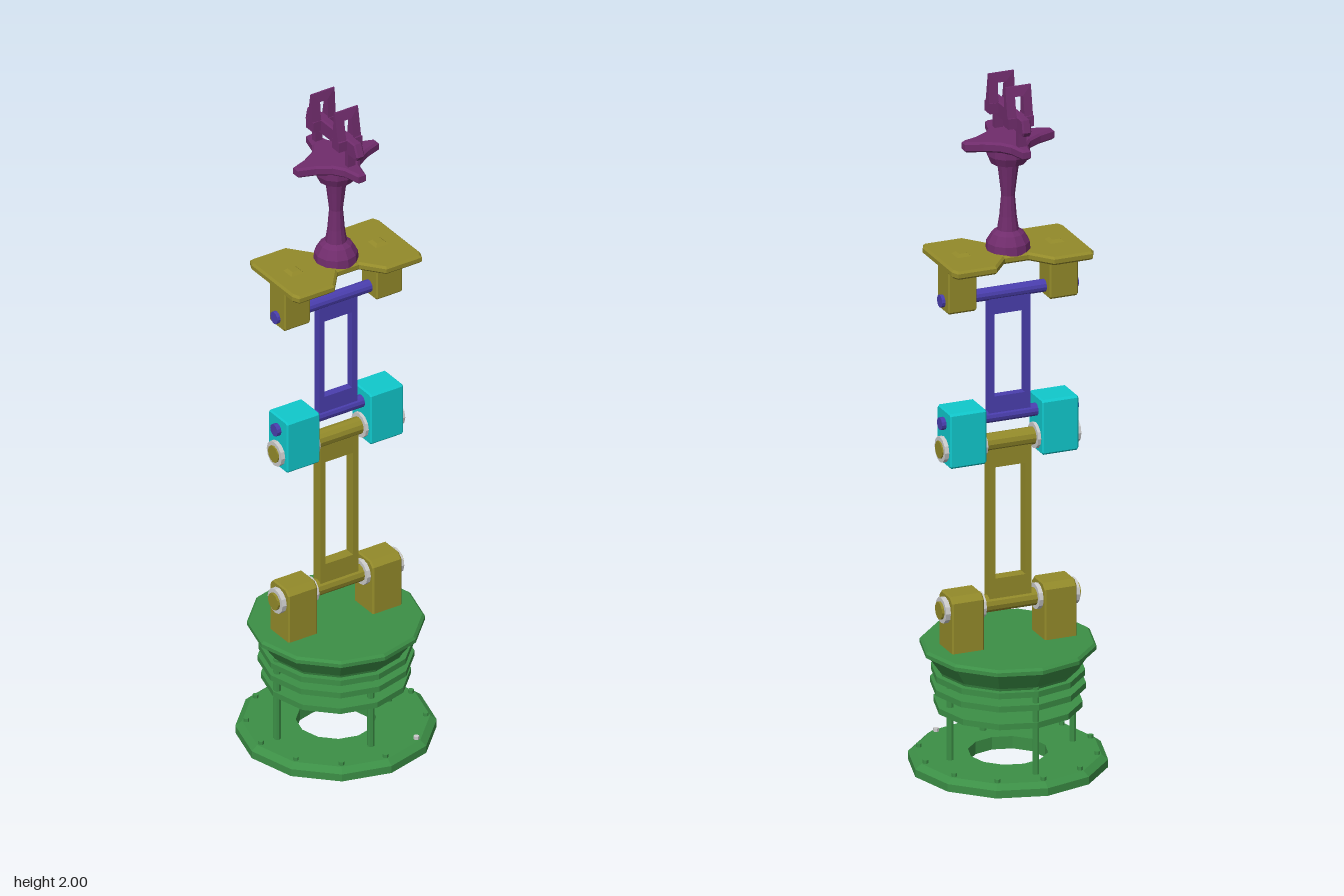
import * as THREE from 'three';

const paint = (color) => new THREE.MeshStandardMaterial({ color, flatShading: true });
const GREEN = paint(0x3c8f46), OLIVE = paint(0x938a2a), CYAN = paint(0x10c8cc);
const BLUE = paint(0x4a3eae), PURPLE = paint(0x702c6c), GREY = paint(0xcccccc);

export function createModel() {
  const model = new THREE.Group();

  const add = (name, geometry, material, x = 0, y = 0, z = 0) => {
    const mesh = new THREE.Mesh(geometry, material);
    mesh.name = name;
    mesh.position.set(x, y, z);
    model.add(mesh);
    return mesh;
  };
  const lathe = (name, profile, sides, material) =>
    add(name, new THREE.LatheGeometry(profile.map(([r, y]) => new THREE.Vector2(r, y)), sides), material);
  const box = (name, w, h, d, material, x, y, z) =>
    add(name, new THREE.BoxGeometry(w, h, d), material, x, y, z);
  const rod = (name, r, halfLength, y, material) =>
    add(name, new THREE.CylinderGeometry(r, r, halfLength * 2, 12), material, 0, y, 0).rotation.z = Math.PI / 2;
  const polygon = (points) => new THREE.Shape(points.map(([x, y]) => new THREE.Vector2(x, y)));
  const rect = (x0, y0, x1, y1) => [[x0, y0], [x1, y0], [x1, y1], [x0, y1]];

  // Extrusion through z, centred on z = 0
  const slab = (shape, depth, bevel = 0) => new THREE.ExtrudeGeometry(shape, {
    depth: depth - 2 * bevel, bevelEnabled: bevel > 0, bevelSize: bevel, bevelOffset: -bevel,
    bevelThickness: bevel, bevelSegments: 1, curveSegments: 4,
  }).translate(0, 0, -depth / 2 + bevel);

  // Horizontal extrusion standing on y = 0
  const flat = (shape, height, bevel) =>
    slab(shape, height, bevel).rotateX(-Math.PI / 2).translate(0, height / 2, 0);

  // Ring foot with bolts
  lathe('footRing', [[0.11, 0], [0.275, 0], [0.275, 0.022], [0.257, 0.036], [0.11, 0.036], [0.11, 0]], 12, GREEN);
  for (let i = 0; i < 12; i++) {
    const a = (i * Math.PI) / 6;
    add('footBolt', new THREE.CylinderGeometry(0.008, 0.008, 0.012, 6), i === 1 ? GREY : GREEN,
      0.245 * Math.sin(a), 0.04, 0.245 * Math.cos(a));
  }

  // Posts, stacked discs and flared drum
  for (const [x, z] of [[-0.192, 0], [0.172, 0], [0, 0.172], [0, -0.192]]) {
    add('post', new THREE.CylinderGeometry(0.01, 0.01, 0.26, 8), GREEN, x, 0.16, z);
  }
  for (const [y, r] of [[0.181, 0.205], [0.236, 0.214], [0.274, 0.212]]) {
    add('disc', new THREE.CylinderGeometry(r, r, 0.017, 12), GREEN, 0, y);
  }
  lathe('flaredDrum', [[0, 0.27], [0.19, 0.27], [0.198, 0.29], [0.232, 0.338], [0.243, 0.342],
    [0.243, 0.353], [0.236, 0.36], [0, 0.36]], 12, GREEN);

  // Rectangular link with a window, running between two pivots
  const link = (name, y0, y1, w0, w1, depth, material) => {
    const shape = polygon(rect(-0.062, y0, 0.062, y1));
    shape.holes.push(new THREE.Path(rect(-0.045, w0, 0.045, w1).reverse().map((p) => new THREE.Vector2(...p))));
    add(name, slab(shape, depth), material);
  };

  // Block with chamfered top, one on each side
  const blocks = (name, x0, x1, y0, y1, depth, c0, c1, material) => {
    const d = depth / 2;
    const shape = polygon([[-d + c0, y0], [d - c0, y0], [d, y0 + c0], [d, y1 - c1],
      [d - c1, y1], [-d + c1, y1], [-d, y1 - c1], [-d, y0 + c0]]);
    for (const s of [-1, 1]) {
      add(name, slab(shape, x1 - x0, 0.004).rotateY(Math.PI / 2), material, (s * (x0 + x1)) / 2);
    }
  };

  const washers = (y, r, xs) => {
    for (const x of xs) for (const s of [-1, 1]) {
      add('washer', new THREE.CylinderGeometry(r, r, 0.014, 12), GREY, s * x, y).rotation.z = Math.PI / 2;
    }
  };

  // Lower joint and link
  blocks('lowerBracket', 0.09, 0.185, 0.355, 0.522, 0.094, 0.001, 0.016, OLIVE);
  rod('lowerAxle', 0.025, 0.206, 0.475, OLIVE);
  washers(0.475, 0.037, [0.085, 0.192]);
  link('lowerLink', 0.475, 0.945, 0.55, 0.875, 0.034, OLIVE);

  // Middle joint
  blocks('middleBlock', 0.083, 0.19, 0.9, 1.06, 0.094, 0.006, 0.006, CYAN);
  rod('middleLowerAxle', 0.025, 0.206, 0.945, OLIVE);
  washers(0.945, 0.037, [0.081, 0.195]);
  rod('middleUpperAxle', 0.018, 0.203, 1.02, BLUE);

  // Upper link and joint
  link('upperLink', 1.02, 1.378, 1.08, 1.32, 0.024, BLUE);
  rod('upperAxle', 0.018, 0.203, 1.378, BLUE);
  blocks('upperBracket', 0.108, 0.193, 1.348, 1.485, 0.076, 0.006, 0.002, OLIVE);

  // Bow-tie plate with two raised pads
  const half = [[0.035, -0.06], [0.085, -0.122], [0.2, -0.122], [0.21, -0.1], [0.21, 0.1], [0.2, 0.122], [0.085, 0.122], [0.035, 0.06]];
  const bow = half.concat(half.map(([x, z]) => [-x, -z]));
  add('bowTiePlate', flat(polygon(bow), 0.024, 0.006), OLIVE, 0, 1.48);
  for (const s of [-1, 1]) {
    const pad = new THREE.CylinderGeometry(0.017, 0.032, 0.01, 4).rotateY(Math.PI / 4);
    add('platePad', pad, OLIVE, s * 0.138, 1.507);
  }

  // Turned stem
  lathe('stem', [[0, 1.495], [0.062, 1.5], [0.06, 1.525], [0.045, 1.55], [0.03, 1.56], [0.024, 1.6],
    [0.019, 1.66], [0.026, 1.72], [0.03, 1.75], [0.05, 1.757], [0.06, 1.78], [0.06, 1.805], [0, 1.81]], 12, PURPLE);

  // Four-pointed star plate
  const tip = [[0.133, -0.011], [0.133, 0.011], [0.085, 0.028], [0.045, 0.052], [0.025, 0.08], [0.012, 0.13]];
  const star = tip.concat(
    tip.map(([x, z]) => [-x, z]).reverse(),
    tip.map(([x, z]) => [-x, -z]).slice(1),
    tip.map(([x, z]) => [x, -z]).reverse().slice(0, -1),
  ).filter(([x, z], i, all) => all.findIndex((p) => p[0] === x && p[1] === z) === i);
  add('starPlate', flat(polygon(star), 0.03, 0.006), PURPLE, 0, 1.803);

  // Rail on two legs
  const rail = polygon([[-0.117, 1.872], [0.127, 1.872], [0.135, 1.885], [0.127, 1.92], [-0.11, 1.92], [-0.125, 1.885]]);
  add('rail', slab(rail, 0.026, 0.004).rotateY(Math.PI / 2), PURPLE);
  for (const z of [0.07, -0.092]) box('railLeg', 0.024, 0.06, 0.016, PURPLE, 0, 1.85, z);

  // Slotted prongs, thick at the foot and thinning to a point on the inner side
  for (const [z, s] of [[0.055, 1], [-0.073, -1]]) {
    const shape = polygon(rect(-0.038, 1.888, 0.038, 2));
    shape.holes.push(new THREE.Path(rect(-0.012, 1.92, 0.012, 1.972).reverse().map((p) => new THREE.Vector2(...p))));
    const prong = slab(shape, 0.032);
    const p = prong.attributes.position;
    for (let i = 0; i < p.count; i++) {
      const t = (p.getY(i) - 1.888) / 0.112;
      p.setZ(i, p.getZ(i) * (1 - 0.85 * t * t) - s * 0.006 * t);
    }
    prong.computeVertexNormals();
    add('prong', prong, PURPLE, 0, 0, z);
    box('prongFoot', 0.076, 0.03, 0.036, PURPLE, 0, 1.9, z);
  }

  return model;
}
